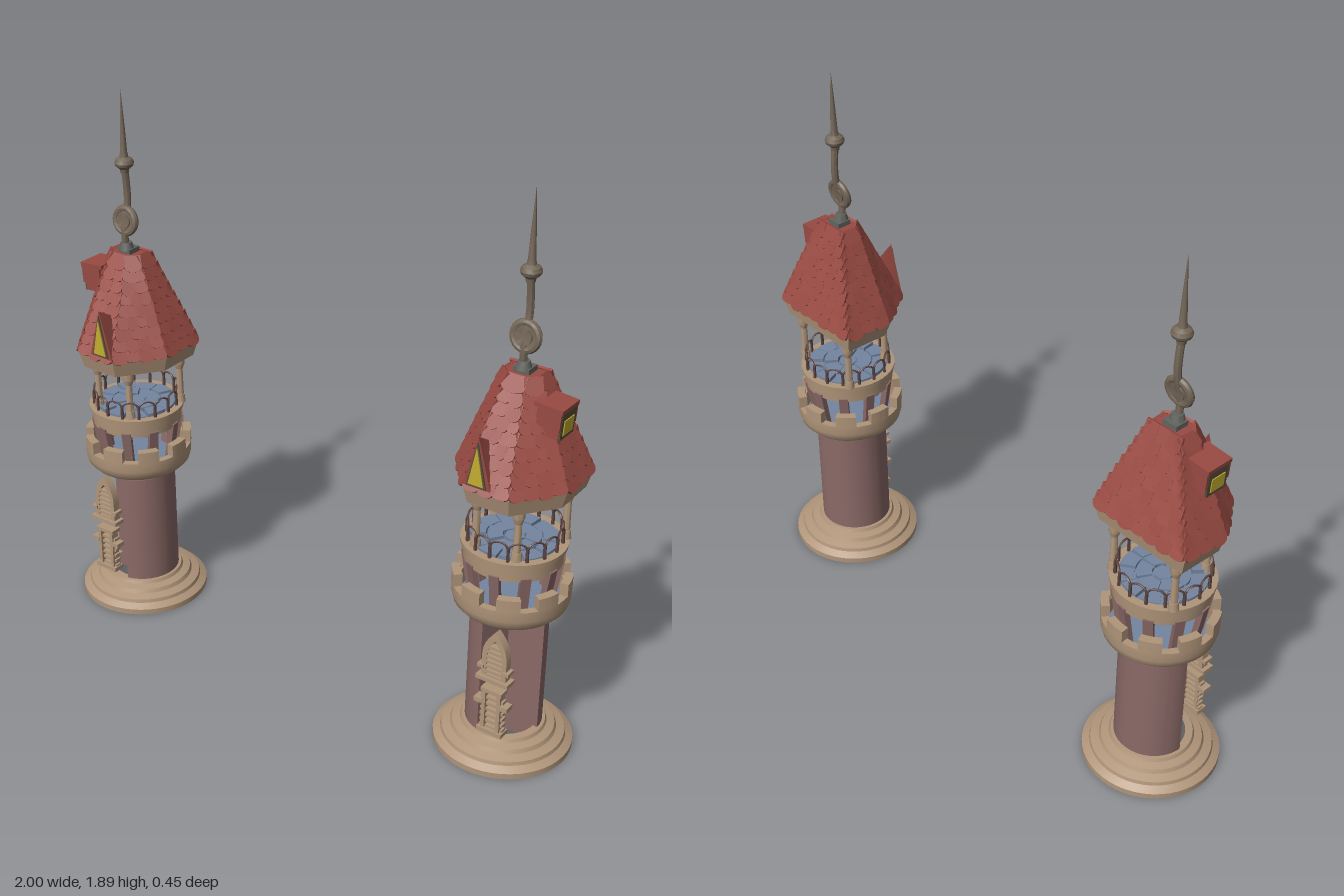
import * as THREE from 'three';
import { mergeGeometries, toCreasedNormals } from 'three/addons/utils/BufferGeometryUtils.js';

const TAU = Math.PI * 2;
const V = (x, y, z) => new THREE.Vector3(x, y, z);

const box = (w, h, d, x, y, z) => new THREE.BoxGeometry(w, h, d).translate(x, y, z);
const cyl = (rTop, rBottom, y0, y1, x = 0, z = 0, sides = 12) =>
  new THREE.CylinderGeometry(rTop, rBottom, y1 - y0, sides).translate(x, (y0 + y1) / 2, z);
const lathe = (pts, seg = 40) =>
  new THREE.LatheGeometry(pts.map(p => new THREE.Vector2(p[0], p[1])), seg);
const extrude = (shape, depth, curveSegments = 8) =>
  new THREE.ExtrudeGeometry(shape, { depth, bevelEnabled: false, curveSegments });

// Upright block bounded by two arcs (or a pie slice when r0 is 0)
function sector(r0, r1, y0, y1, a0, a1, seg = 5) {
  const s = new THREE.Shape();
  s.absarc(0, 0, r1, a0, a1, false);
  if (r0 > 0) s.absarc(0, 0, r0, a1, a0, true);
  else s.lineTo(0, 0);
  return extrude(s, y1 - y0, seg).rotateX(-Math.PI / 2).translate(0, y0, 0);
}

// Copies a geometry around the tower axis
const around = (n, make, phase = 0) =>
  Array.from({ length: n }, (_, i) => make(i).rotateY(phase + (i / n) * TAU));

// Solid between two rings of points, listed counterclockwise from above
function loft(a, b) {
  const p = [], n = a.length, tri = (...v) => v.forEach(q => p.push(q.x, q.y, q.z));
  for (let i = 0; i < n; i++) {
    const j = (i + 1) % n;
    tri(a[i], a[j], b[j]);
    tri(a[i], b[j], b[i]);
    if (i > 0 && j > 0) { tri(b[0], b[i], b[j]); tri(a[0], a[j], a[i]); }
  }
  return new THREE.BufferGeometry().setAttribute('position', new THREE.Float32BufferAttribute(p, 3));
}

function pointedArch(w, h) {
  const s = new THREE.Shape();
  s.moveTo(-w, 0).lineTo(w, 0).lineTo(w, h * 0.45);
  s.quadraticCurveTo(w, h * 0.75, 0, h).quadraticCurveTo(-w, h * 0.75, -w, h * 0.45);
  return s;
}

function triangle(w, h, y = 0) {
  return new THREE.Shape().moveTo(-w, y).lineTo(w, y).lineTo(0, y + h);
}

// Six-sided roof outline at eave and top
const EAVE = [[-.075, .185], [.075, .185], [.182, .04], [.178, -.125], [-.178, -.125], [-.182, .04]];
const TOP = [[-.03, .042], [.03, .042], [.058, .02], [.055, -.035], [-.055, -.035], [-.058, .02]];
const roofRing = t => EAVE.map((e, i) => V(
  THREE.MathUtils.lerp(e[0], TOP[i][0], t), 1 + 0.325 * t, THREE.MathUtils.lerp(e[1], TOP[i][1], t)));

// Overlapping round-ended shingles following the roof faces
function shingles() {
  const rows = 9, out = [];
  for (let r = 0; r < rows; r++) {
    const lo = roofRing(r / rows), hi = roofRing((r + 1) / rows);
    for (let i = 0; i < 6; i++) {
      const j = (i + 1) % 6, len = lo[i].distanceTo(lo[j]);
      const n = Math.max(1, Math.round(len / 0.048) + (r % 2 && len > 0.08 ? 1 : 0));
      const u = lo[j].clone().sub(lo[i]).normalize();
      for (let k = 0; k < n; k++) {
        const f = (k + 0.5) / n, wob = Math.sin(r * 5.1 + i * 3.7 + k * 2.3);
        const p = lo[i].clone().lerp(lo[j], f), q = hi[i].clone().lerp(hi[j], f);
        const nrm = u.clone().cross(q.clone().sub(p)).normalize(), v = nrm.clone().cross(u);
        const w = len / n * 0.56, h = 0.042, drop = 0.014 + wob * 0.004;
        const s = new THREE.Shape().moveTo(w, h).lineTo(-w * 0.9, h).lineTo(-w, 0);
        s.quadraticCurveTo(-w * 0.8, -drop, 0, -drop).quadraticCurveTo(w * 0.8, -drop, w, 0);
        const m = new THREE.Matrix4().makeBasis(u, v, nrm).setPosition(p);
        out.push(extrude(s, 0.009, 3).rotateX(-0.16 + wob * 0.04).translate(0, 0, 0.004).applyMatrix4(m));
      }
    }
  }
  return out;
}

export function createModel() {
  const mat = (name, color, side = THREE.FrontSide) =>
    new THREE.MeshStandardMaterial({ name, color, side });
  const stone = mat('sandstone', 0xb0957a, THREE.DoubleSide);
  const plaster = mat('mauve wall', 0x8b6a67);
  const tile = mat('red shingle', 0x984a42);
  const glass = mat('yellow glass', 0xc4ae30);
  const metal = mat('weathered metal', 0x736657);
  const iron = mat('grey iron', 0x62645f);
  const wood = mat('dark wood', 0x5c4440);
  const paving = mat('blue paving', 0x7485a0);
  const frame = mat('window frame', 0x57503c);

  const parts = [];
  const add = (name, material, ...geos) => {
    const clean = geos.flat().map(g => {
      const c = g.index ? g.toNonIndexed() : g;
      ['uv', 'normal'].forEach(a => c.deleteAttribute(a));
      c.clearGroups();
      return c;
    });
    parts.push([name, material, toCreasedNormals(mergeGeometries(clean), 0.55)]);
  };

  // Plinth and shaft with its open outer front quarter
  add('steppedBase', stone, lathe([[.227, 0], [.227, .02], [.203, .034], [.2, .046], [.172, .055],
    [.166, .068], [.14, .075], [.135, .086], [.11, .088]], 48));
  add('shaft', plaster, sector(0, .125, .03, .5, 0, Math.PI * 1.5 - 0.2, 32));

  // Pointed window with louvres, and the shuttered window below it
  const arch = pointedArch(.044, .175);
  arch.holes.push(new THREE.Path(pointedArch(.028, .13).getPoints(6).map(p => p.add(new THREE.Vector2(0, .014)))));
  const slats = (n, y0, step, w) => Array.from({ length: n }, (_, i) =>
    box(w, .01, .022, .04, y0 + i * step, .142).applyMatrix4(new THREE.Matrix4()));
  add('archedWindow', stone, extrude(arch, .028, 6).translate(.04, .325, .125),
    slats(6, .35, .018, .06), box(.115, .014, .045, .04, .325, .142),
    [-1, 1].map(s => box(.022, .012, .035, .04 + s * .045, .365, .142)));
  add('shutterWindow', stone, slats(6, .14, .022, .082), [-1, 1].map(s =>
    [box(.013, .15, .03, .04 + s * .027, .205, .145), box(.03, .016, .035, .04 + s * .045, .235, .145)]).flat(),
    box(.09, .016, .04, .04, .13, .145), box(.075, .014, .04, .04, .282, .142));

  // Lower battlement
  add('battlement', stone, lathe([[.15, .525], [.165, .525], [.181, .542], [.187, .565], [.187, .6],
    [.162, .6], [.162, .54], [.15, .525]]),
    around(9, () => sector(.16, .188, .598, .643, -.2, .2), .3));
  add('lowerFloor', paving, cyl(.16, .155, .528, .545, 0, 0, 24));

  // Leaning beams that carry the gallery
  add('leaningBeams', plaster, around(10, () =>
    box(.032, .17, .02, 0, 0, 0).rotateX(.16).translate(0, .62, .137), .15));

  // Gallery ring, paving and railing
  add('galleryRing', stone, lathe([[.135, .69], [.155, .69], [.158, .74], [.166, .743], [.167, .757],
    [.14, .757], [.135, .69]]));
  const slabs = [[1, 0, .032], [6, .036, .084], [11, .088, .138]].map(([n, r0, r1], ring) =>
    n === 1 ? cyl(r1, r1, .74, .764, 0, 0, 7)
      : around(n, i => sector(r0, r1, .74, .76 + (i % 3) * .004, .04, TAU / n - .03, 3), ring)).flat();
  add('galleryPaving', paving, cyl(.14, .14, .725, .75, 0, 0, 24), slabs);
  add('railing', wood,
    around(16, () => cyl(.005, .006, .755, .805, 0, .148, 6)),
    around(16, () => new THREE.TorusGeometry(.027, .004, 5, 8, Math.PI).scale(1, .7, 1).translate(0, .8, .145), TAU / 32));

  // Columns with capitals
  const spots = [[.072, .112], [-.072, .112], [.126, -.092], [-.126, -.092]];
  add('columns', stone, spots.map(([x, z]) => [
    cyl(.011, .013, .75, .9, x, z), cyl(.019, .012, .885, .905, x, z),
    cyl(.019, .019, .905, .945, x, z), cyl(.015, .018, .755, .785, x, z)]).flat());

  // Eave beam and roof
  const scaled = (k, y) => EAVE.map(([x, z]) => V(x * k, y, z * k));
  add('eave', stone, loft(scaled(.95, .938), scaled(1.04, 1.0)));
  add('roofCore', tile, loft(roofRing(0), roofRing(1)));
  add('roofShingles', tile, shingles());

  // Front gable dormer, its hood rising towards the front
  const gable = triangle(.05, .17, 1.0);
  const hood = extrude(gable, .1).translate(-.03, 0, .095);
  const pos = hood.attributes.position;
  for (let i = 0; i < pos.count; i++) {
    if (pos.getY(i) > 1.1) pos.setY(i, pos.getY(i) + (pos.getZ(i) - .18) * .6);
  }
  add('frontDormer', tile, hood);
  add('frontDormerFrame', frame, extrude(triangle(.034, .15, 1.012), .006).translate(-.03, 0, .194));
  add('frontDormerGlass', glass, extrude(triangle(.026, .125, 1.02), .004).translate(-.03, 0, .199));

  // Outer side dormer
  const onSide = g => g.rotateZ(-.08).translate(.12, 1.212, .015);
  add('sideDormer', tile, onSide(box(.07, .09, .084, 0, 0, 0)),
    onSide(box(.095, .014, .1, -.005, .05, 0)),
    [-1, 1].map(s => onSide(box(.08, .06, .01, 0, .015, s * .045))));
  add('sideDormerFrame', frame, onSide(box(.008, .088, .082, .037, -.002, 0)));
  add('sideDormerGlass', glass, onSide(box(.004, .05, .056, .042, -.008, 0)));

  // Finial: iron cap, tilted medallion, knob and spike
  add('finialCap', iron, box(.054, .02, .05, 0, 1.332, 0), cyl(.018, .026, 1.335, 1.362, 0, .008));
  const tilt = g => g.rotateX(-.14).translate(0, 1.438, .008);
  add('medallion', metal,
    tilt(new THREE.TorusGeometry(.042, .012, 8, 24)),
    tilt(new THREE.CylinderGeometry(.04, .04, .014, 24).rotateX(Math.PI / 2)),
    tilt(new THREE.CylinderGeometry(.026, .026, .024, 20).rotateX(Math.PI / 2)));
  const stem = new THREE.CatmullRomCurve3([V(0, 1.35, .012), V(0, 1.4, .015), V(0, 1.5, -.006), V(0, 1.56, -.006), V(0, 1.62, 0)]);
  add('stem', metal, new THREE.TubeGeometry(stem, 16, .012, 8));
  add('spire', metal, lathe([[0, 1.6], [.014, 1.605], [.016, 1.618], [.03, 1.63], [.033, 1.64], [.028, 1.652],
    [.015, 1.66], [.012, 1.675], [.008, 1.76], [0, 1.89]], 16));

  // Two towers, the second a mirror image
  const model = new THREE.Group();
  for (const side of [1, -1]) {
    const tower = new THREE.Group();
    tower.name = side > 0 ? 'leftTower' : 'rightTower';
    for (const [name, material, geo] of parts) {
      const g = geo.clone();
      if (side < 0) {
        g.scale(-1, 1, 1);
        for (const { array } of Object.values(g.attributes)) {
          for (let i = 0; i < array.length; i += 9) {
            const b = array.slice(i + 3, i + 6);
            array.copyWithin(i + 3, i + 6, i + 9);
            array.set(b, i + 6);
          }
        }
      }
      const mesh = new THREE.Mesh(g, material);
      mesh.name = name;
      tower.add(mesh);
    }
    tower.position.x = side * 0.773;
    model.add(tower);
  }
  model.name = 'twinTowers';
  return model;
}
